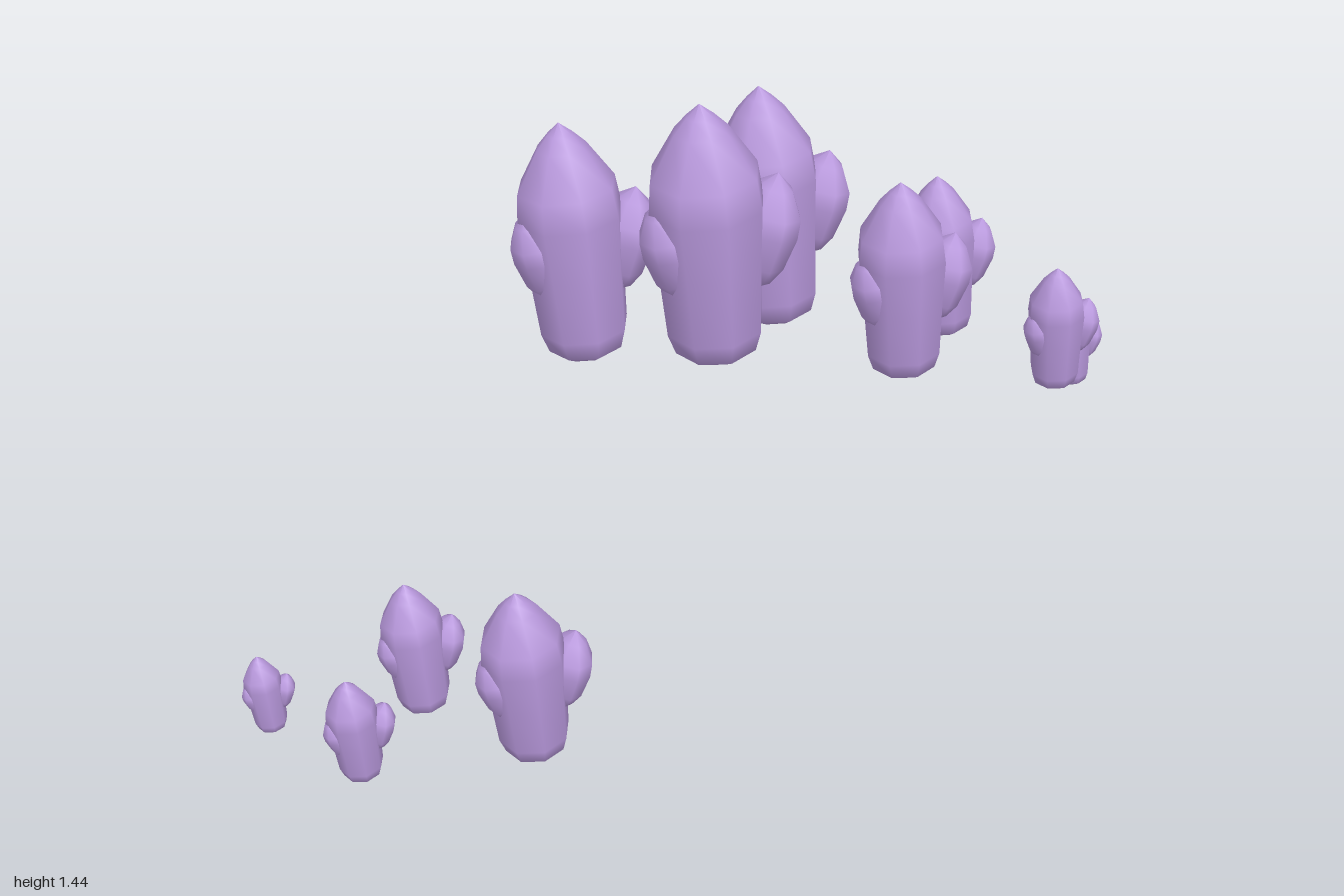
import * as THREE from 'three';

// Crystal clusters: base x, base y, height, row (1 = front, -1 = back)
const CLUSTERS = [
  [-0.944, 0.065, 0.19, -1], [-0.794, 0.045, 0.255, 1],
  [-0.612, 0.03, 0.325, -1], [-0.42, 0, 0.43, 1],
  [-0.217, 0.835, 0.51, -1], [-0.008, 0.89, 0.55, 1],
  [0.2, 0.84, 0.52, -1], [0.408, 0.77, 0.44, 1],
  [0.596, 0.73, 0.37, -1], [0.773, 0.662, 0.288, 1],
  [0.936, 0.53, 0.22, -1],
];

// Unit-height profiles as [radius, height]
const MAIN_PROFILE = [
  [0, 0], [0.1, 0.015], [0.155, 0.05], [0.18, 0.13], [0.195, 0.4],
  [0.212, 0.62], [0.198, 0.74], [0.1, 0.9], [0.05, 0.955], [0, 1],
];
const BUD_PROFILE = [
  [0, 0], [0.5, 0.04], [0.8, 0.2], [1, 0.5], [0.97, 0.67], [0.55, 0.88], [0, 1],
];

const lathe = (profile) =>
  new THREE.LatheGeometry(profile.map(([r, y]) => new THREE.Vector2(r, y)), 8);

export function createModel() {
  const model = new THREE.Group();
  model.name = 'crystalArc';
  const amethyst = new THREE.MeshStandardMaterial({ color: 0xb898dc });
  amethyst.name = 'amethyst';
  const mainGeometry = lathe(MAIN_PROFILE);
  const budGeometry = lathe(BUD_PROFILE);

  CLUSTERS.forEach(([x, y, height, row], i) => {
    const cluster = new THREE.Group();
    cluster.name = `crystalCluster${i + 1}`;
    cluster.position.set(x, y, 0.096 * row);
    cluster.scale.setScalar(height);

    // Tall pointed crystal, leaning slightly sideways and outward
    const main = new THREE.Mesh(mainGeometry, amethyst);
    main.name = 'mainCrystal';
    main.rotation.set(0.03 * row, 0, 0.08);
    cluster.add(main);

    // Smaller buds growing out of both flanks
    const addBud = (name, bx, by, tilt, rx, h, rz) => {
      const bud = new THREE.Mesh(budGeometry, amethyst);
      bud.name = name;
      bud.position.set(bx, by, 0.015 * row);
      bud.rotation.z = tilt;
      bud.scale.set(rx, h, rz);
      cluster.add(bud);
    };
    addBud('leftBud', 0.13, 0.28, -0.22, 0.115, 0.42, 0.142);
    addBud('rightBud', -0.14, 0.28, 0.24, 0.1, 0.38, 0.115);

    model.add(cluster);
  });
  return model;
}
